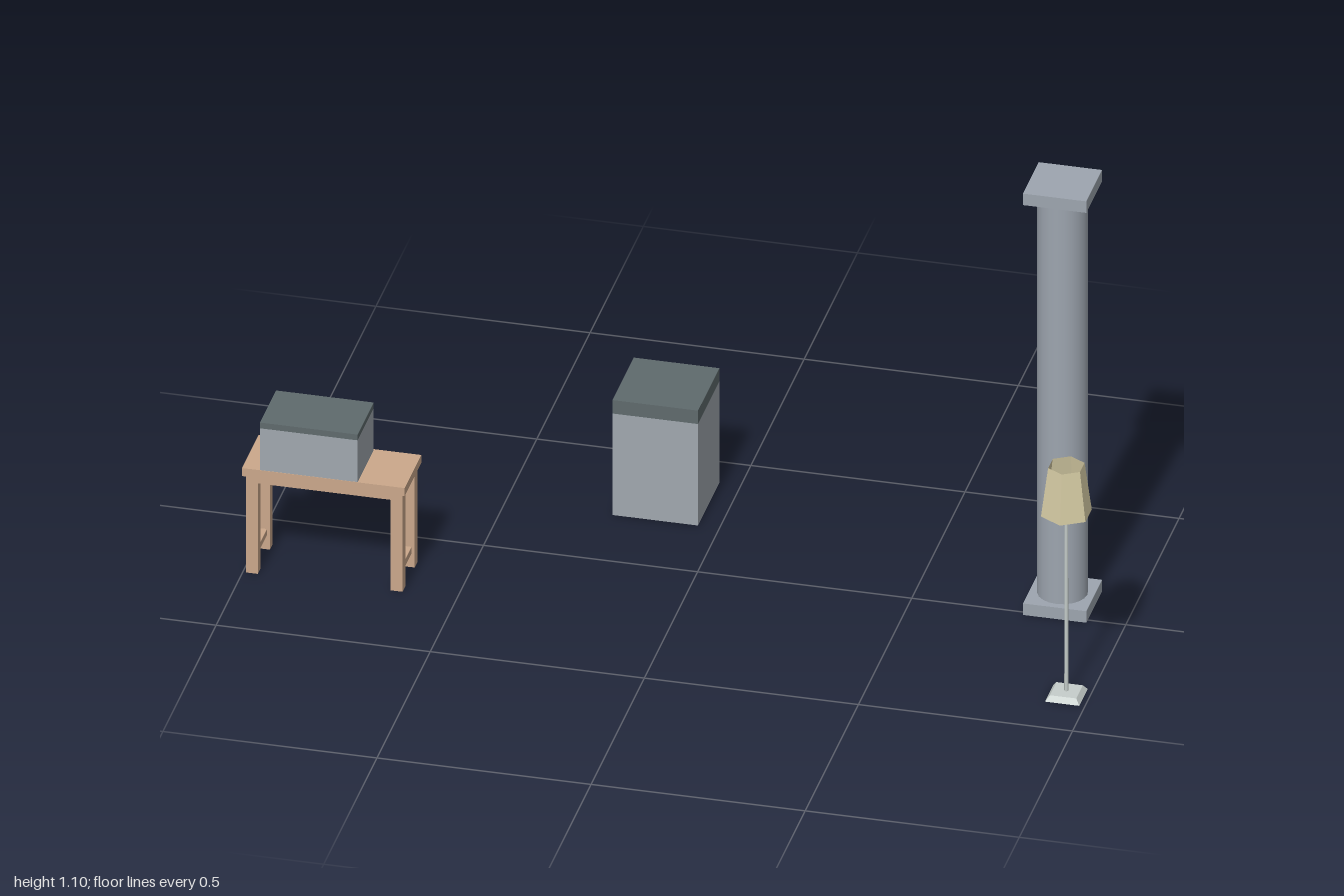
import * as THREE from 'three';

const mat = (name, color, extra = {}) => {
  const m = new THREE.MeshStandardMaterial({ color, ...extra });
  m.name = name;
  return m;
};

export function createModel() {
  const root = new THREE.Group();
  root.name = 'roomProps';
  const wood = mat('lightWood', 0xcba88b);
  const grey = mat('boxGrey', 0xa0a8ae);
  const dark = mat('darkLid', 0x5f6a6d);
  const stone = mat('columnStone', 0x9da5af);
  const steel = mat('paleMetal', 0xc6cecb);
  const cream = mat('creamShade', 0xd4caa3, { flatShading: true, side: THREE.DoubleSide });

  const group = (name) => {
    const g = new THREE.Group();
    g.name = name;
    root.add(g);
    return g;
  };
  const add = (parent, name, geo, material, x, y, z) => {
    const m = new THREE.Mesh(geo, material);
    m.name = name;
    m.position.set(x, y, z);
    parent.add(m);
    return m;
  };
  // Box given by its extents on each axis
  const box = (parent, name, material, x0, x1, y0, y1, z0, z1) =>
    add(parent, name, new THREE.BoxGeometry(x1 - x0, y1 - y0, z1 - z0), material,
      (x0 + x1) / 2, (y0 + y1) / 2, (z0 + z1) / 2);

  // Table with four legs, an apron and a low stretcher at each end
  const table = group('table');
  box(table, 'tableTop', wood, -1, -0.62, 0.255, 0.276, 0.102, 0.258);
  box(table, 'apron', wood, -0.99, -0.63, 0.235, 0.255, 0.112, 0.248);
  for (const x of [-0.979, -0.641]) {
    for (const z of [0.123, 0.237])
      box(table, 'leg', wood, x - 0.014, x + 0.014, 0, 0.255, z - 0.013, z + 0.013);
    box(table, 'stretcher', wood, x - 0.007, x + 0.007, 0.037, 0.053, 0.136, 0.224);
  }

  // Small box standing on the table
  const small = group('smallBox');
  box(small, 'smallBoxBody', grey, -0.958, -0.73, 0.276, 0.385, 0.106, 0.257);
  box(small, 'smallBoxLid', dark, -0.958, -0.73, 0.385, 0.4, 0.106, 0.257);

  // Large box on the floor
  const large = group('largeBox');
  box(large, 'largeBoxBody', grey, -0.25, -0.05, 0, 0.265, -0.405, -0.205);
  box(large, 'largeBoxLid', dark, -0.25, -0.05, 0.265, 0.3, -0.405, -0.205);

  // Column: square base and cap with a round shaft
  const column = group('column');
  box(column, 'columnBase', stone, 0.763, 0.911, 0, 0.03, -0.135, 0.013);
  box(column, 'columnCap', stone, 0.763, 0.911, 1.07, 1.1, -0.135, 0.013);
  add(column, 'columnShaft', new THREE.CylinderGeometry(0.058, 0.058, 1.04, 20, 1, true),
    stone, 0.837, 0.55, -0.061);

  // Floor lamp: bevelled square foot, slim pole, open six-sided shade
  const lamp = group('floorLamp');
  lamp.position.set(0.947, 0, 0.345);
  const r = Math.SQRT1_2;
  const foot = new THREE.CylinderGeometry(0.062 * r, 0.08 * r, 0.013, 4).rotateY(Math.PI / 4).toNonIndexed();
  foot.computeVertexNormals();
  add(lamp, 'lampFoot', foot, steel, 0, 0.0065, 0);
  add(lamp, 'lampPole', new THREE.CylinderGeometry(0.004, 0.005, 0.512, 8), steel, 0, 0.269, 0);
  add(lamp, 'lampShade', new THREE.CylinderGeometry(0.043, 0.06, 0.124, 6, 1, true), cream, 0, 0.538, 0);
  return root;
}
